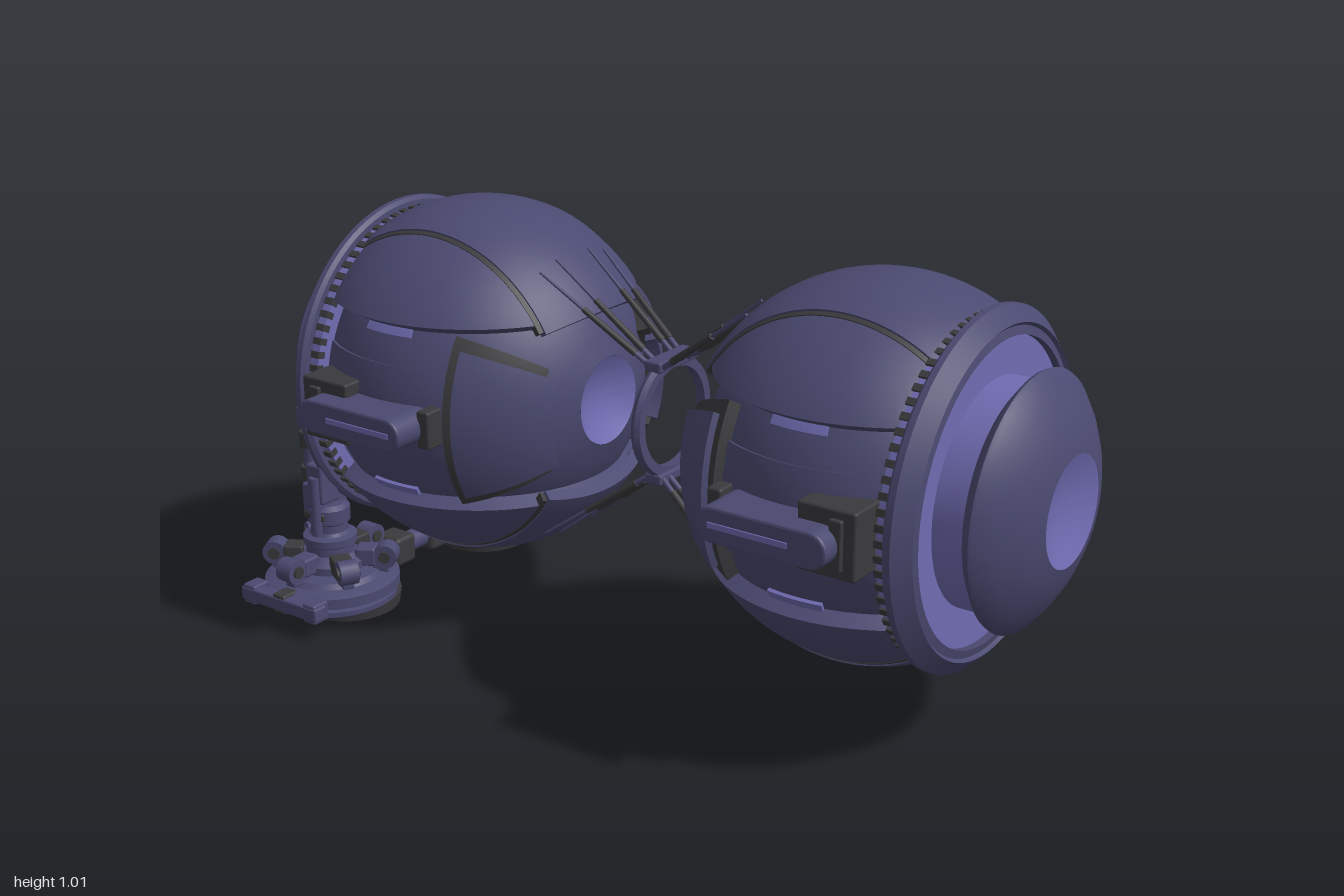
import * as THREE from 'three';
import { toCreasedNormals } from 'three/addons/utils/BufferGeometryUtils.js';
import { RoundedBoxGeometry } from 'three/addons/geometries/RoundedBoxGeometry.js';

const material = (name, color) => Object.assign(new THREE.MeshStandardMaterial({ color }), { name });
const hull = material('hull indigo', 0x4a4970);
const light = material('light lavender', 0x706cb2);
const dark = material('dark grey', 0x3a3a3d);
const RAD = Math.PI / 180;
const V = (x, y, z) => new THREE.Vector3(x, y, z);

function add(parent, name, geometry, mat, x = 0, y = 0, z = 0) {
  const mesh = new THREE.Mesh(geometry, mat);
  mesh.name = name;
  mesh.position.set(x, y, z);
  parent.add(mesh);
  return mesh;
}

const box = (w, h, d, r = 0.006) => new RoundedBoxGeometry(w, h, d, 2, r);
const cyl = (r0, r1, h, n = 24) => new THREE.CylinderGeometry(r1, r0, h, n);

// Profile of [radius, height] pairs turned about y
const turned = (pts, n = 64) =>
  toCreasedNormals(new THREE.LatheGeometry(pts.map(p => new THREE.Vector2(...p)), n), 0.5);
// The same about z
const turnedZ = (pts, n = 96) => turned(pts, n).rotateX(Math.PI / 2);

function rod(parent, name, a, b, r0, r1, mat) {
  const m = add(parent, name, cyl(r0, r1, a.distanceTo(b), 12), mat);
  m.position.copy(a).lerp(b, 0.5);
  m.quaternion.setFromUnitVectors(V(0, 1, 0), b.clone().sub(a).normalize());
  return m;
}

// Thick spherical plate: polar range a and azimuth range b (degrees) about an axis,
// with walls down to an inner radius, cut off flat at both ends of the pod
function plate(axis, a0, a1, b0, b1, R, inner, n = 28, m = 48) {
  const pos = [], index = [];
  const clamp = THREE.MathUtils.clamp;
  for (let i = 0; i <= n + 2; i++) for (let j = 0; j <= m + 2; j++) {
    const u = clamp((i - 1) / n, 0, 1), v = clamp((j - 1) / m, 0, 1);
    const edge = i === 0 || j === 0 || i === n + 2 || j === m + 2;
    const a = (a0 + (a1 - a0) * u) * RAD, b = (b0 + (b1 - b0) * v) * RAD, r = edge ? inner : R;
    const e = [r * Math.sin(a) * Math.cos(b), r * Math.sin(a) * Math.sin(b), r * Math.cos(a)];
    const p = axis === 'x' ? [e[2], e[0], e[1]] : axis === 'y' ? [e[1], e[2], e[0]] : e;
    pos.push(p[0], p[1], clamp(p[2], -0.372, 0.22));
    if (i && j) {
      const w = m + 3, k = i * w + j;
      index.push(k - w - 1, k - 1, k, k - w - 1, k, k - w);
    }
  }
  const g = new THREE.BufferGeometry();
  g.setAttribute('position', new THREE.Float32BufferAttribute(pos, 3));
  g.setIndex(index);
  return toCreasedNormals(g, 0.5);
}

// Pod centred on its sphere, outer end towards +z
function createPod() {
  const pod = new THREE.Group();
  pod.name = 'pod';

  // Core sphere with a dished opening at the inner end
  const core = [];
  for (let i = 0; i <= 32; i++) {
    const z = -0.37 + 0.59 * i / 32;
    core.push([Math.sqrt(0.385 ** 2 - z * z), z]);
  }
  add(pod, 'core', turnedZ([...core, [0.365, 0.22]]), hull);
  add(pod, 'innerDish', turnedZ([[0, -0.335], [0.04, -0.34], [0.08, -0.355], [0.106, -0.37]]), light);

  // Upper and lower armour shells, each with a raised centre strip
  for (const s of [0, 1]) {
    const shells = new THREE.Group();
    shells.name = s ? 'lowerShell' : 'upperShell';
    shells.rotation.z = s * Math.PI;
    add(shells, 'shellSides', plate('y', 0, 59, 0, 360, 0.424, 0.37, 40, 96), hull);
    add(shells, 'centreStrip', plate('x', 65, 115, -59, 59, 0.43, 0.4), hull);
    for (const a of [63.2, 115.2]) add(shells, 'seam', plate('x', a, a + 1.6, -58, 58, 0.4265, 0.4, 2), dark);
    pod.add(shells);
  }

  // Side panels, petals and outriggers
  for (const s of [0, 1]) {
    const side = new THREE.Group();
    side.name = s ? 'rightSide' : 'leftSide';
    add(side, 'sideBand', plate('y', 72, 108, 56, 124, 0.393, 0.37), hull);
    for (const a of [56, 118]) add(side, 'window', plate('y', a, a + 6, 79, 101, 0.393, 0.37, 6, 16), light);
    add(side, 'petalBacking', plate('z', 116, 147, -33, 33, 0.415, 0.37), dark);
    add(side, 'petal', plate('z', 119, 150, -28, 28, 0.43, 0.4), hull);
    add(side, 'mountBlock', box(0.1, 0.148, 0.135), dark, 0.38, -0.003, 0.125);
    add(side, 'blockRib', box(0.02, 0.11, 0.03, 0.004), dark, 0.43, -0.003, 0.15);

    // Outrigger with stadium-shaped outline
    const outline = new THREE.Shape();
    outline.absarc(0.098, 0, 0.034, -Math.PI / 2, Math.PI / 2);
    outline.absarc(-0.13, 0, 0.034, Math.PI / 2, Math.PI * 1.5);
    const fin = new THREE.ExtrudeGeometry(outline, {
      depth: 0.11, bevelEnabled: true, bevelSize: 0.006, bevelThickness: 0.006, bevelSegments: 2, curveSegments: 16,
    }).rotateY(Math.PI / 2);
    add(side, 'outrigger', fin, hull, 0.369, 0, -0.012);
    add(side, 'outriggerSlot', box(0.006, 0.014, 0.19, 0.002), light, 0.484, 0, -0.025);
    add(side, 'outriggerClip', box(0.05, 0.09, 0.035), dark, 0.385, 0, -0.155);
    side.rotation.z = s * Math.PI;
    pod.add(side);
  }

  // Toothed ring behind the flange
  add(pod, 'toothRing', turnedZ([[0.33, 0.205], [0.372, 0.205], [0.372, 0.23]]), light);
  for (let i = 0; i < 72; i++) {
    const a = i * 5 * RAD;
    const tooth = add(pod, 'tooth', new THREE.BoxGeometry(0.022, 0.016, 0.024), dark,
      0.367 * Math.cos(a), 0.367 * Math.sin(a), 0.214);
    tooth.rotation.z = a;
  }

  // Flange, neck and end cap
  add(pod, 'flange', turnedZ([[0.34, 0.225], [0.388, 0.228], [0.397, 0.236], [0.397, 0.25],
    [0.362, 0.282], [0.355, 0.275], [0.336, 0.28], [0.336, 0.25]]), hull);
  add(pod, 'neck', turnedZ([[0.345, 0.262], [0.25, 0.262], [0.25, 0.34]]), light);
  add(pod, 'endCap', turnedZ([[0.2, 0.33], [0.25, 0.33], [0.279, 0.352], [0.283, 0.36], [0.279, 0.367],
    [0.24, 0.398], [0.2, 0.422], [0.16, 0.44], [0.122, 0.45]]), hull);
  add(pod, 'capDish', turnedZ([[0.122, 0.45], [0.09, 0.438], [0.05, 0.428], [0, 0.424]]), light);
  return pod;
}

// Landing foot standing at its own origin, outer side towards +x
function createFoot() {
  const foot = new THREE.Group();
  foot.name = 'foot';

  // Sole
  add(foot, 'sole', cyl(0.125, 0.13, 0.03, 32), dark, -0.035, 0.016, 0.02);
  for (const z of [-0.03, 0.07])
    add(foot, 'soleRing', new THREE.TorusGeometry(0.042, 0.008, 8, 24).rotateX(Math.PI / 2), hull, -0.035, 0.008, z);

  // Layered disc with edge clamps
  add(foot, 'disc', turned([[0, 0.028], [0.15, 0.028], [0.158, 0.034], [0.158, 0.046], [0.145, 0.05], [0.145, 0.056],
    [0.165, 0.058], [0.165, 0.084], [0.15, 0.09], [0.13, 0.094], [0.12, 0.106], [0.08, 0.112], [0, 0.112]], 40), hull);
  add(foot, 'edgeRail', box(0.04, 0.036, 0.25), hull, 0.17, 0.068, 0);
  for (const z of [-0.1, 0, 0.1]) add(foot, 'railClamp', box(0.05, 0.05, 0.04), z ? hull : dark, 0.163, 0.068, z);

  // Radial pistons with knuckles
  for (let i = 0; i < 6; i++) {
    const arm = new THREE.Group();
    arm.name = 'radialPiston';
    arm.rotation.y = i * Math.PI / 3;
    add(arm, 'piston', cyl(0.018, 0.018, 0.13, 12).rotateZ(Math.PI / 2), hull, 0.075, 0.14, 0);
    add(arm, 'sleeve', box(0.05, 0.046, 0.05), i % 2 ? dark : hull, 0.09, 0.138, 0);
    add(arm, 'knuckle', cyl(0.03, 0.03, 0.045, 16).rotateX(Math.PI / 2), hull, 0.138, 0.14, 0);
    add(arm, 'knucklePin', cyl(0.015, 0.015, 0.056, 12).rotateX(Math.PI / 2), dark, 0.138, 0.14, 0);
    add(arm, 'tab', box(0.04, 0.02, 0.03, 0.004), hull, 0.125, 0.108, 0);
    foot.add(arm);
  }

  // Ankle column
  add(foot, 'ankle', turned([[0.085, 0.11], [0.085, 0.13], [0.06, 0.15], [0.06, 0.17], [0.066, 0.174], [0.066, 0.192],
    [0.05, 0.197], [0.045, 0.205], [0.045, 0.225], [0.052, 0.23], [0.052, 0.265], [0.04, 0.275], [0, 0.275]], 32), hull);
  add(foot, 'shinBlock', box(0.095, 0.09, 0.06), hull, 0, 0.285, -0.01);
  add(foot, 'shinBand', box(0.1, 0.02, 0.066), dark, 0, 0.25, -0.005);
  add(foot, 'hullBracket', box(0.06, 0.1, 0.05), hull, 0.02, 0.335, 0.005);
  add(foot, 'sideDamper', cyl(0.013, 0.013, 0.15, 12), hull, 0.052, 0.28, 0.01);

  // Upper strut
  add(foot, 'strut', cyl(0.022, 0.018, 0.22, 16), hull, 0, 0.41, -0.045);
  for (const y of [0.34, 0.43]) add(foot, 'strutCollar', cyl(0.028, 0.028, 0.04, 16), dark, 0, y, -0.045);
  add(foot, 'strutHead', box(0.05, 0.05, 0.045), hull, 0, 0.49, -0.045);
  add(foot, 'strutTip', cyl(0.014, 0.012, 0.03, 12), dark, 0, 0.518, -0.05);
  return foot;
}

export function createModel() {
  const model = new THREE.Group();
  model.name = 'twinPodCraft';
  const CY = 0.583;

  // Two pods, back to back
  for (const s of [0, 1]) {
    const pod = createPod();
    pod.name = s ? 'rearPod' : 'frontPod';
    pod.position.set(0, CY, s ? -0.55 : 0.55);
    pod.rotation.y = s * Math.PI;
    model.add(pod);
  }

  // Joining ring with top and bottom blocks
  add(model, 'joinRing', turnedZ([[0.118, -0.012], [0.14, -0.012], [0.146, 0], [0.14, 0.012], [0.118, 0.012], [0.118, -0.012]]), hull, 0, CY, 0);
  for (const sy of [-1, 1]) {
    add(model, 'ringBlock', box(0.15, 0.026, 0.046), hull, 0, CY + sy * 0.135, 0);
    // Struts from the ring onto the pod shells
    for (const sz of [-1, 1]) for (const [x0, x1] of [[0.035, 0.06], [0.06, 0.12], [-0.035, -0.06], [-0.06, -0.12]]) {
      const a = V(x0, CY + sy * 0.135, sz * 0.02);
      const b = V(x1, CY + sy * Math.sqrt(0.436 ** 2 - 0.27 ** 2 - x1 * x1), sz * 0.28);
      rod(model, 'joinStrut', a, b, 0.007, 0.003, hull);
      rod(model, 'strutSleeve', a.clone().lerp(b, 0.12), a.clone().lerp(b, 0.6), 0.009, 0.007, dark);
    }
  }

  // Landing gear beneath the rear pod
  for (const s of [1, -1]) {
    const foot = createFoot();
    foot.name = s > 0 ? 'leftFoot' : 'rightFoot';
    foot.position.set(s * 0.295, 0, -0.82);
    foot.scale.x = s;
    model.add(foot);
    add(model, 'axleBlock', box(0.07, 0.076, 0.08, 0.012), dark, s * 0.065, 0.072, -0.82);
    add(model, 'axleCollar', cyl(0.027, 0.027, 0.03).rotateZ(Math.PI / 2), hull, s * 0.13, 0.07, -0.82);
  }
  add(model, 'axle', cyl(0.02, 0.02, 0.3).rotateZ(Math.PI / 2), hull, 0, 0.07, -0.82);
  add(model, 'axleSleeve', cyl(0.027, 0.027, 0.07).rotateZ(Math.PI / 2), hull, 0, 0.07, -0.82);
  return model;
}
